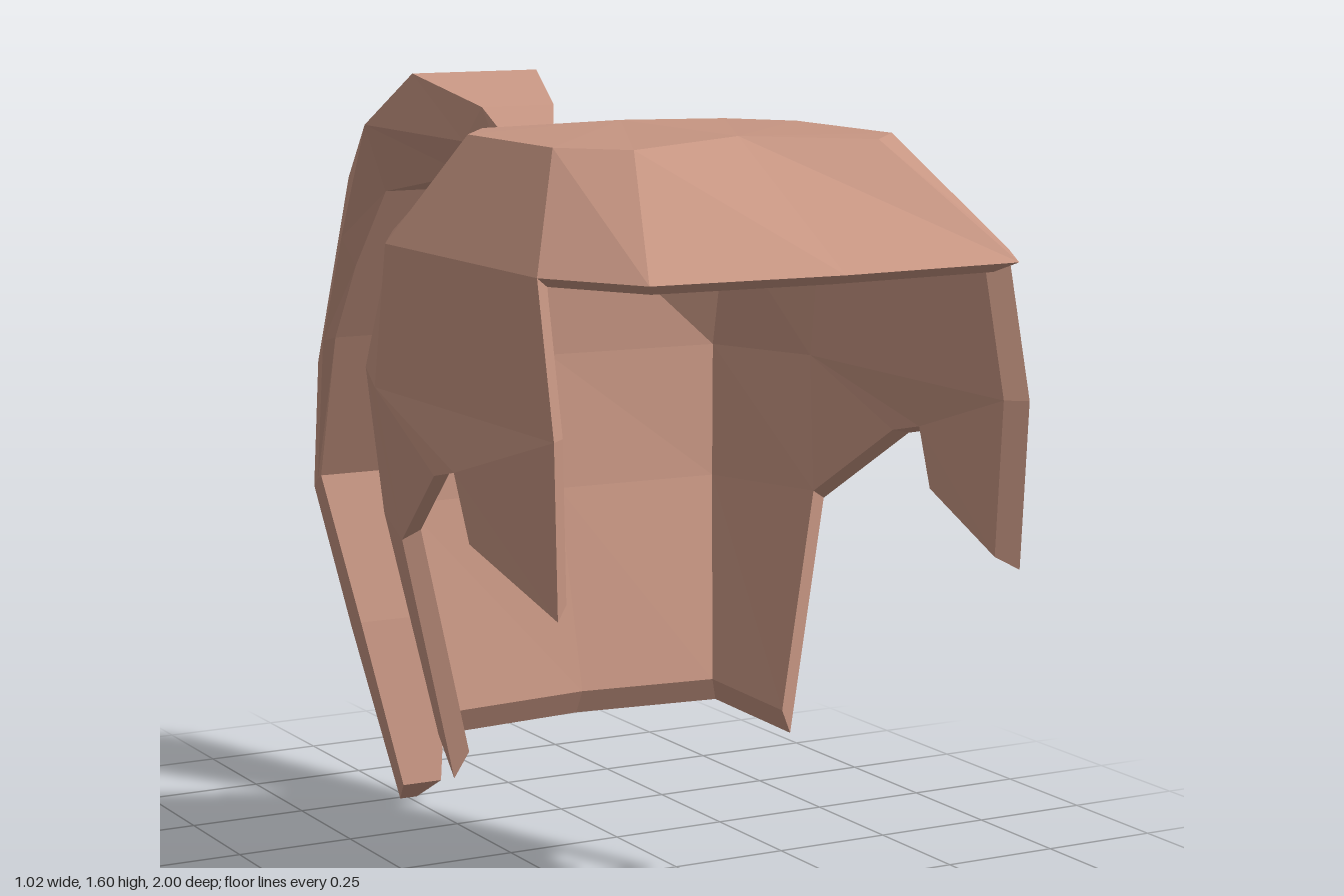
import * as THREE from 'three';

const material = new THREE.MeshStandardMaterial({ color: 0xc69582, flatShading: true });

// Mesh from polygons given as lists of [x, y, z] corners, counter-clockwise from outside
function polygonMesh(name, polygons) {
  const pos = [];
  for (const p of polygons)
    for (let i = 1; i < p.length - 1; i++) pos.push(...p[0], ...p[i], ...p[i + 1]);
  const geometry = new THREE.BufferGeometry();
  geometry.setAttribute('position', new THREE.Float32BufferAttribute(pos, 3));
  geometry.computeVertexNormals();
  const mesh = new THREE.Mesh(geometry, material);
  mesh.name = name;
  return mesh;
}

const mirror = (polygon) => polygon.map(([x, y, z]) => [-x, y, z]).reverse();

// Hair cap: left half of the outer skin, then thickened inward and mirrored
function buildCap() {
  const v = [
    // crown
    [0, 1.54, 0.64], [0.25, 1.53, 0.71], [0.35, 1.53, 0.6], [0.35, 1.53, 0.27], [0.26, 1.53, 0.15], [0, 1.54, 0.21],
    // fringe edge and temple line
    [0, 1.33, 1], [0.37, 1.33, 0.98], [0.48, 1.33, 0.79], [0.48, 1.33, 0.19], [0.37, 1.33, -0.01], [0, 1.41, -0.125],
    // ear line
    [0.485, 1.06, 0.86], [0.485, 1.06, 0.15], [0.39, 1.06, -0.095], [0, 1.06, -0.115],
    // side lock and notch
    [0.475, 0.75, 0.855], [0.505, 0.84, 0.58], [0.51, 0.96, 0.53], [0.505, 0.94, 0.44],
    // neck line
    [0.46, 0.78, 0.21], [0.37, 0.78, -0.06], [0, 0.78, -0.07],
    // lower back edge
    [0.37, 0.32, 0.24], [0.31, 0.355, 0.05], [0, 0.36, 0.035],
  ];
  const faces = [
    [0, 1, 2, 3, 4, 5],
    [0, 6, 7, 1], [1, 7, 8, 2], [2, 8, 9, 3], [3, 9, 10, 4], [4, 10, 11, 5],
    [8, 12, 13, 9], [9, 13, 14, 10], [10, 14, 15, 11],
    [12, 16, 17, 18], [12, 18, 19, 13], [13, 19, 20],
    [13, 20, 21, 14], [14, 21, 22, 15],
    [20, 23, 24, 21], [21, 24, 25, 22],
  ];
  // inner skin is the outer one shrunk about the middle of the head
  const centre = [0, 1.05, 0.4];
  const inner = v.map((p) => p.map((c, i) => centre[i] + (c - centre[i]) * 0.93));

  const half = [];
  const edges = new Set();
  for (const f of faces) {
    half.push(f.map((i) => v[i]), f.map((i) => inner[i]).reverse());
    f.forEach((a, i) => edges.add(`${a},${f[(i + 1) % f.length]}`));
  }
  // rim along the open edges
  for (const edge of edges) {
    const [a, b] = edge.split(',').map(Number);
    const onSeam = v[a][0] === 0 && v[b][0] === 0;
    if (!edges.has(`${b},${a}`) && !onSeam) half.push([v[b], v[a], inner[a], inner[b]]);
  }
  return polygonMesh('hairCap', [...half, ...half.map(mirror)]);
}

// Ponytail: six-sided cross-sections, each as outer, side and inner pairs [halfWidth, y, z]
function buildPonytail() {
  const sections = [
    [[0.04, 1.43, -0.09], [0.06, 1.39, -0.11], [0.04, 1.35, -0.13]],
    [[0.04, 1.455, -0.135], [0.055, 1.415, -0.155], [0.04, 1.375, -0.175]],
    [[0.08, 1.54, -0.21], [0.1, 1.47, -0.25], [0.07, 1.4, -0.3]],
    [[0.14, 1.597, -0.4], [0.2, 1.49, -0.5], [0.14, 1.35, -0.53]],
    [[0.1, 1.355, -0.8], [0.2, 1.25, -0.62], [0.17, 1.19, -0.615]],
    [[0.1, 0.94, -0.97], [0.195, 1.02, -0.73], [0.18, 1.03, -0.7]],
    [[0.1, 0.66, -1], [0.14, 0.695, -0.89], [0.15, 0.71, -0.85]],
    [[0.06, 0.36, -0.9], [0.085, 0.38, -0.82], [0.105, 0.4, -0.75]],
    [[0.02, 0, -0.74], [0.033, 0.025, -0.705], [0.045, 0.05, -0.67]],
  ];
  const rings = sections.map((s) => [
    ...s,
    ...s.map(([x, y, z]) => [-x, y, z]).reverse(),
  ]);
  const polygons = [];
  for (let r = 0; r < rings.length - 1; r++)
    for (let i = 0; i < 6; i++) {
      const j = (i + 1) % 6;
      polygons.push([rings[r][i], rings[r][j], rings[r + 1][j], rings[r + 1][i]]);
    }
  polygons.push([...rings[0]].reverse(), rings[rings.length - 1]);
  return polygonMesh('ponytail', polygons);
}

export function createModel() {
  const group = new THREE.Group();
  group.name = 'ponytailHair';
  group.add(buildCap(), buildPonytail());
  return group;
}
